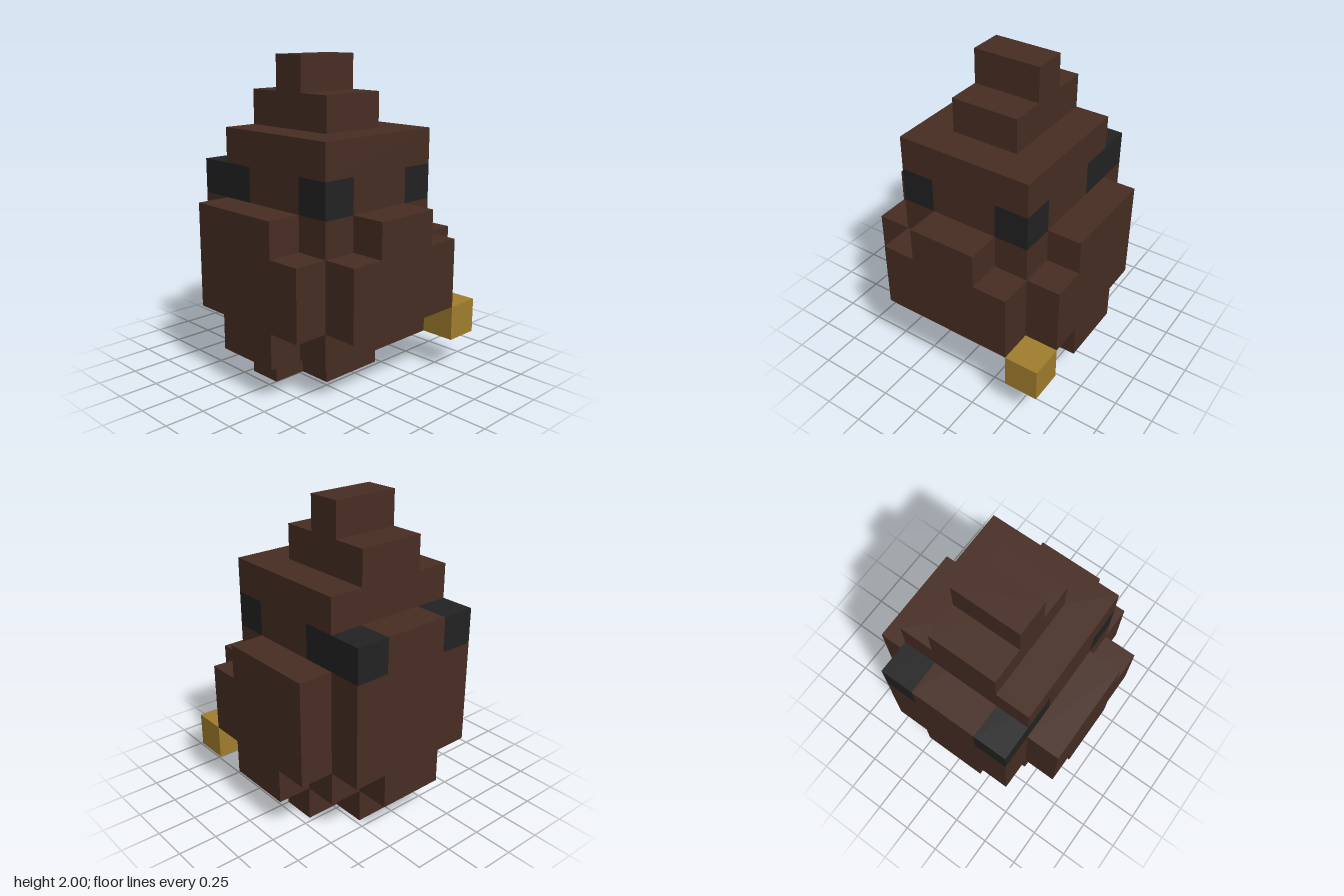
import * as THREE from 'three';

const U = 2 / 9; // edge of one block

const material = (name, color) => {
  const m = new THREE.MeshStandardMaterial({ color });
  m.name = name;
  return m;
};

export function createModel() {
  const brown = material('brown', 0x472d23);
  const black = material('black', 0x222222);
  const gold = material('gold', 0xa17e2d);
  const model = new THREE.Group();
  model.name = 'blockCreature';

  // Box given by its ranges in block units
  const block = (name, mat, [x0, x1], [y0, y1], [z0, z1]) => {
    const geo = new THREE.BoxGeometry((x1 - x0) * U, (y1 - y0) * U, (z1 - z0) * U);
    const mesh = new THREE.Mesh(geo, mat);
    mesh.position.set((x0 + x1) * U / 2, (y0 + y1) * U / 2, (z0 + z1) * U / 2);
    mesh.name = name;
    model.add(mesh);
  };
  // Same box on both sides
  const pair = (name, mat, [x0, x1], y, z) => {
    block(name + 'Left', mat, [x0, x1], y, z);
    block(name + 'Right', mat, [-x1, -x0], y, z);
  };

  // Cross-shaped base
  block('base', brown, [-1, 1], [0, 1], [-2, 1]);
  pair('baseArm', brown, [1, 2], [0, 1], [-1, 0]);

  // Body core
  block('body', brown, [-2, 2], [1, 5], [-2, 2]);

  // Chest panel with stepped shoulders
  block('chest', brown, [-1, 1], [2, 5], [2, 3]);
  pair('chestSide', brown, [1, 2], [2, 4], [2, 3]);

  // Back panel
  block('back', brown, [-1, 1], [1, 5], [-3, -2]);
  pair('backSide', brown, [1, 2], [2, 5], [-3, -2]);

  // Side panels, stepped at front and bottom
  pair('flank', brown, [2, 3], [2, 5], [-2, 1]);
  pair('flankFront', brown, [2, 3], [2, 4], [1, 2]);
  pair('flankBottom', brown, [2, 3], [1, 2], [-1, 1]);

  // Eye level: brown centre and cheeks, dark corners
  block('face', brown, [-1, 1], [5, 6], [-3, 2]);
  pair('cheek', brown, [1, 2], [5, 6], [-1, 1]);
  pair('frontEye', black, [1, 2], [5, 6], [1, 2]);
  pair('backEye', black, [1, 2], [5, 6], [-3, -1]);

  // Head top and stepped crest
  block('headTop', brown, [-2, 2], [6, 7], [-2, 2]);
  block('crestLower', brown, [-1, 1], [7, 8], [-2, 1]);
  block('crestUpper', brown, [-1, 1], [8, 9], [-1, 0]);

  // Gold block at the front left corner
  block('goldBlock', gold, [2, 3], [1, 2], [2, 3]);

  return model;
}
